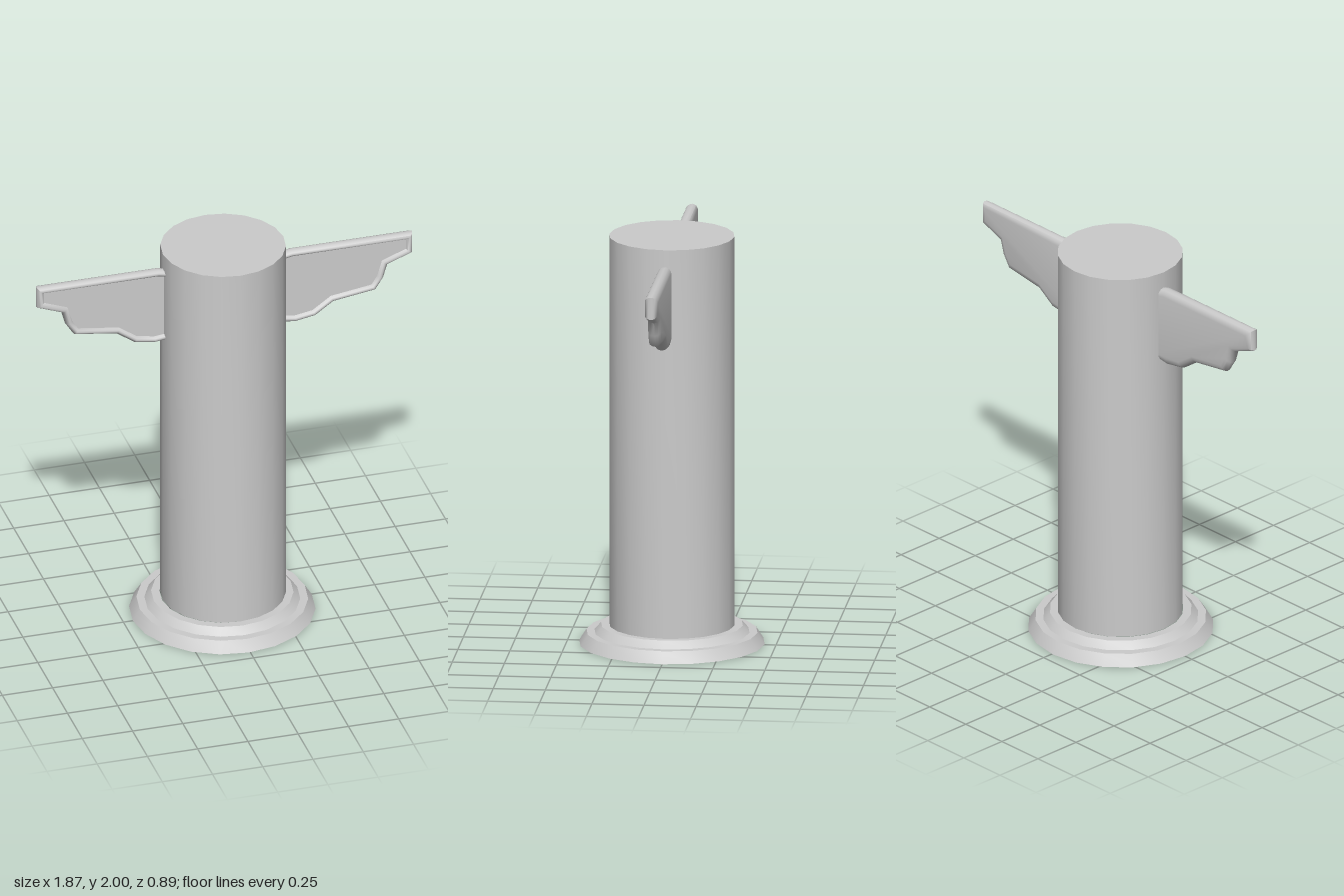
import * as THREE from 'three';
import { toCreasedNormals } from 'three/addons/utils/BufferGeometryUtils.js';

const material = new THREE.MeshStandardMaterial({ color: 0xcccccc, side: THREE.DoubleSide });

// Turned part with sharp steps and smooth sides
function turned(name, profile) {
  const points = profile.map(([r, y]) => new THREE.Vector2(r, y));
  const mesh = new THREE.Mesh(toCreasedNormals(new THREE.LatheGeometry(points, 20), 0.6), material);
  mesh.name = name;
  return mesh;
}

// Wing outline, from the upper root round the tip to the lower root
const outline = [
  [0.285, 1.915], [0.33, 1.925], [0.935, 1.925], [0.935, 1.815], [0.81, 1.768], [0.79, 1.7],
  [0.75, 1.638], [0.54, 1.608], [0.45, 1.545], [0.35, 1.528], [0.285, 1.536],
].map(([x, y]) => new THREE.Vector2(x, y));

// Edge section as [inset, z]: flat back, rounded edge, raised front rim, recessed panel
const section = [
  [0.035, -0.03], [0.02, -0.027], [0.006, -0.017], [0, -0.002], [0.003, 0.015],
  [0.01, 0.026], [0.018, 0.03], [0.026, 0.027], [0.034, 0.014],
];

// Moves the outline inwards; the root ends stay on the column
function inset(points, d) {
  const normals = points.slice(1).map((p, i) => {
    const t = p.clone().sub(points[i]).normalize();
    return new THREE.Vector2(-t.y, t.x);
  });
  return points.map((p, i) => {
    if (i === 0) return new THREE.Vector2(p.x, p.y - d);
    if (i === points.length - 1) return new THREE.Vector2(p.x, p.y + d);
    const a = normals[i - 1], b = normals[i];
    return p.clone().addScaledVector(a.clone().add(b), -d / (1 + a.dot(b)));
  });
}

function wingGeometry() {
  const rings = section.map(([d]) => inset(outline, d));
  const n = outline.length, last = section.length - 1;
  const position = [], index = [];
  rings.forEach((ring, k) => ring.forEach((p) => position.push(p.x, p.y, section[k][1])));
  // Rounded edge and rim
  for (let k = 0; k < last; k++) {
    for (let i = 0; i < n - 1; i++) {
      const a = k * n + i, d = a + n;
      index.push(a, d, d + 1, a, d + 1, a + 1);
    }
  }
  // Back face and front panel
  for (const k of [0, last]) {
    const contour = rings[k].slice().reverse();
    for (const face of THREE.ShapeUtils.triangulateShape(contour, [])) {
      const [a, b, c] = face.map((i) => k * n + n - 1 - i);
      if (k === 0) index.push(a, c, b);
      else index.push(a, b, c);
    }
  }
  const geometry = new THREE.BufferGeometry();
  geometry.setAttribute('position', new THREE.Float32BufferAttribute(position, 3));
  geometry.setIndex(index);
  return toCreasedNormals(geometry, 0.95);
}

export function createModel() {
  const model = new THREE.Group();
  model.name = 'wingedColumn';

  // Column, closed on top and open below
  const column = turned('column', [[0.3, 0.09], [0.3, 2], [0, 2]]);
  // Stepped base, a hollow shell
  const base = turned('base', [[0.445, 0], [0.41, 0.055], [0.372, 0.055], [0.34, 0.09], [0.3, 0.09]]);
  column.position.x = -0.004;
  base.position.x = -0.008;
  model.add(column, base);

  // Mirrored pair of wings
  const geometry = wingGeometry();
  for (const side of [1, -1]) {
    const wing = new THREE.Mesh(geometry, material);
    wing.name = side > 0 ? 'leftWing' : 'rightWing';
    wing.scale.x = side;
    model.add(wing);
  }
  return model;
}
